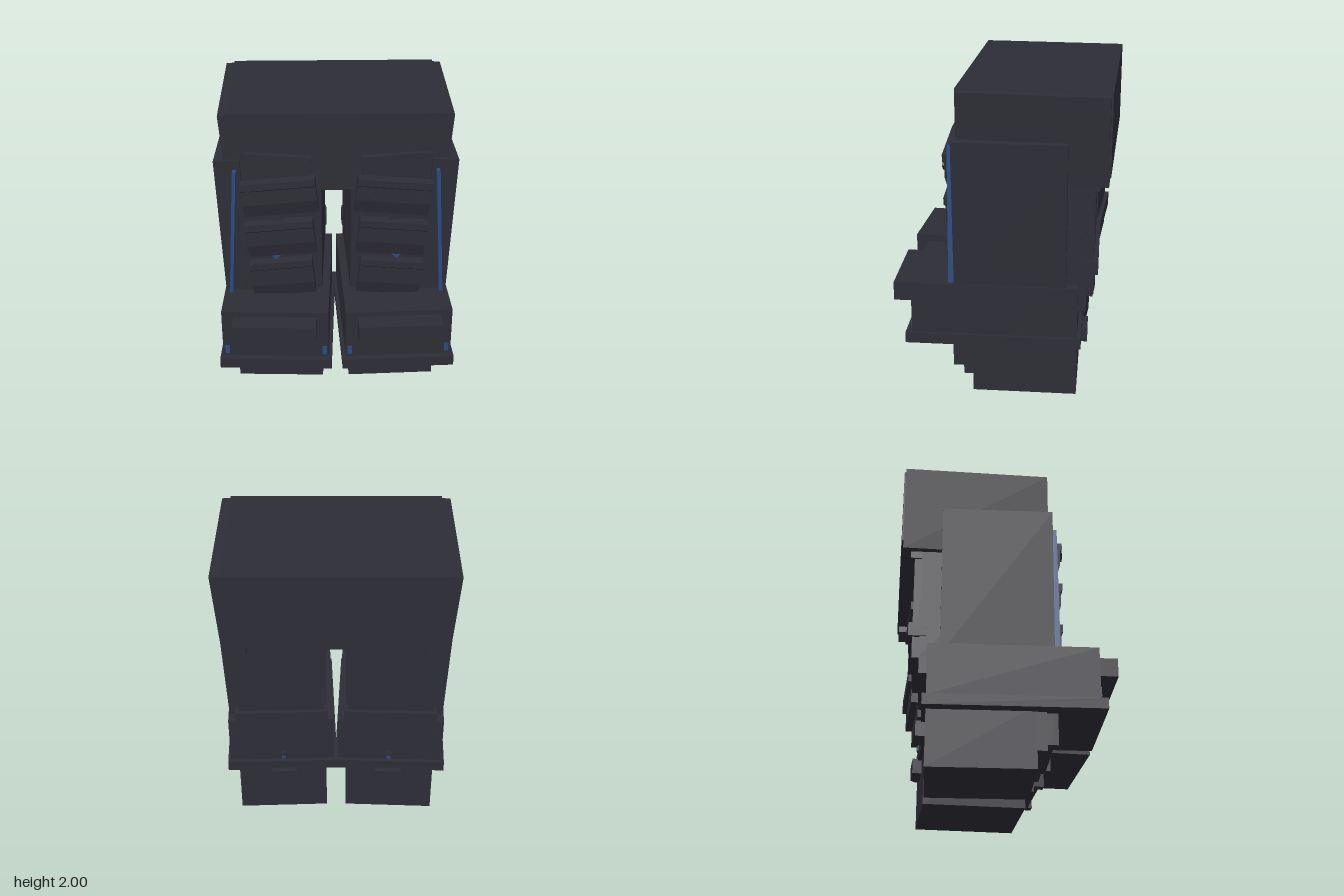
import * as THREE from 'three';

const charcoal = new THREE.MeshStandardMaterial({ color: 0x2d2d36 });
charcoal.name = 'charcoal';
const blue = new THREE.MeshStandardMaterial({ color: 0x2a4a82 });
blue.name = 'blue';

// Box given by its limits on each axis, turned by tilt about z through its centre
function box(parent, name, x, y, z, mat = charcoal, tilt = 0) {
  const mesh = new THREE.Mesh(new THREE.BoxGeometry(x[1] - x[0], y[1] - y[0], z[1] - z[0]), mat);
  mesh.position.set((x[0] + x[1]) / 2, (y[0] + y[1]) / 2, (z[0] + z[1]) / 2);
  mesh.rotation.z = tilt;
  mesh.name = name;
  parent.add(mesh);
  return mesh;
}

// Armour slat with a raised lip on top and a face that thins towards the bottom
function slat(w, h) {
  const profile = new THREE.Shape([
    [0, -h / 2], [0.035, -h / 2], [0.06, -h / 2 + 0.09], [0.06, h / 2 - 0.055],
    [0.072, h / 2 - 0.045], [0.072, h / 2], [0, h / 2],
  ].map(([z, y]) => new THREE.Vector2(z, y)));
  const geo = new THREE.ExtrudeGeometry(profile, { depth: w, bevelEnabled: false });
  geo.translate(0, 0, -w / 2);
  geo.rotateY(-Math.PI / 2);
  return new THREE.Mesh(geo, charcoal);
}

// One leg; s is +1 for the left and -1 for the right
function createLeg(s) {
  const leg = new THREE.Group();
  leg.name = s > 0 ? 'leftLeg' : 'rightLeg';
  const cx = 0.38;
  leg.position.x = s * cx;
  leg.rotation.y = s * 0.04;
  const add = (name, x, y, z, mat, tilt = 0) => {
    const a = s * (x[0] - cx), b = s * (x[1] - cx);
    return box(leg, name, [Math.min(a, b), Math.max(a, b)], y, z, mat, s * tilt);
  };

  // Foot and shin
  add('foot', [0.083, 0.663], [0, 0.4], [-0.49, 0.17]);
  add('shin', [0.088, 0.658], [0.115, 0.4], [-0.4, 0.23]);
  add('shinPlate', [0.115, 0.635], [0.16, 0.4], [-0.2, 0.27]);
  for (const x of [0.115, 0.575]) add('shinRib', [x, x + 0.06], [0.16, 0.4], [0.2, 0.3]);
  add('shinCentre', [0.185, 0.565], [0.2, 0.4], [0.2, 0.285]);
  add('heelBlock', [0.28, 0.45], [0.27, 0.37], [-0.55, -0.45]);

  // Wide knee skirt
  add('skirtRim', [0.012, 0.736], [0.36, 0.43], [-0.515, 0.59]);
  add('skirt', [0.033, 0.718], [0.43, 0.765], [-0.49, 0.55]);
  add('kneeBar', [0.11, 0.642], [0.61, 0.73], [0.5, 0.673]);
  for (const x of [0.044, 0.674]) add('skirtLight', [x, x + 0.03], [0.45, 0.51], [0.549, 0.557], blue);

  // Thigh and calf
  add('thigh', [0.083, 0.655], [0.7, 1.6], [-0.54, 0.235]);
  add('thighBackPlate', [0.1, 0.64], [0.7, 1.44], [-0.585, -0.5]);
  add('backTopLedge', [0.085, 0.655], [1.385, 1.44], [-0.61, -0.5]);
  add('backBand', [0.08, 0.66], [0.84, 0.93], [-0.61, -0.5]);
  add('backLowerBand', [0.083, 0.66], [0.59, 0.7], [-0.54, -0.45]);
  add('backClip', [0.35, 0.385], [0.45, 0.5], [-0.515, -0.49]);
  add('backLight', [0.355, 0.38], [0.455, 0.475], [-0.52, -0.514], blue);
  for (const y of [0.84, 1.38]) add('innerStud', [0.075, 0.1], [y, y + 0.09], [-0.58, -0.48]);

  // Outer thigh shield
  add('sideShield', [0.567, 0.73], [0.7, 1.7], [-0.415, 0.28], charcoal, -0.045);

  // Backing plate and light strip on the front
  add('frontPlate', [0.175, 0.6], [0.72, 1.74], [0.2, 0.285], charcoal, 0.06);
  add('lightStrip', [0.638, 0.66], [0.74, 1.64], [0.28, 0.318], blue, 0.06);

  // Three tilted slats
  for (const [x, y, w, h] of [[0.343, 1.47, 0.47, 0.24], [0.341, 1.18, 0.435, 0.245], [0.333, 0.89, 0.405, 0.26]]) {
    const panel = slat(w, h);
    panel.name = 'frontSlat';
    panel.position.set(s * (x - cx), y, 0.283);
    panel.rotation.z = s * -0.1;
    leg.add(panel);
  }

  // Diamond studs on the top slat and between slats
  const diamond = (name, x, y, z, mat, r = 0.028) =>
    add(name, [x - r, x + r], [y - r, y + r], z, mat, Math.PI / 4);
  for (const x of [0.21, 0.54]) diamond('diamondStud', x, 1.495, [0.33, 0.357]);
  diamond('slatJoint', 0.36, 1.315, [0.28, 0.312]);
  diamond('slatLight', 0.375, 1.06, [0.28, 0.314], blue);
  for (const y of [1.36, 1.08]) diamond('sideJoint', 0.565, y, [0.28, 0.305]);
  return leg;
}

export function createModel() {
  const model = new THREE.Group();
  model.name = 'armouredLegs';

  // Hip block with flared sides
  box(model, 'hip', [-0.67, 0.67], [1.485, 2], [-0.682, 0.25]);
  for (const s of [1, -1]) {
    const x = s * 0.63;
    box(model, 'hipFlare', [x - 0.072, x + 0.072], [1.432, 1.994], [-0.672, 0.242], charcoal, s * -0.08);
    model.add(createLeg(s));
  }
  return model;
}
